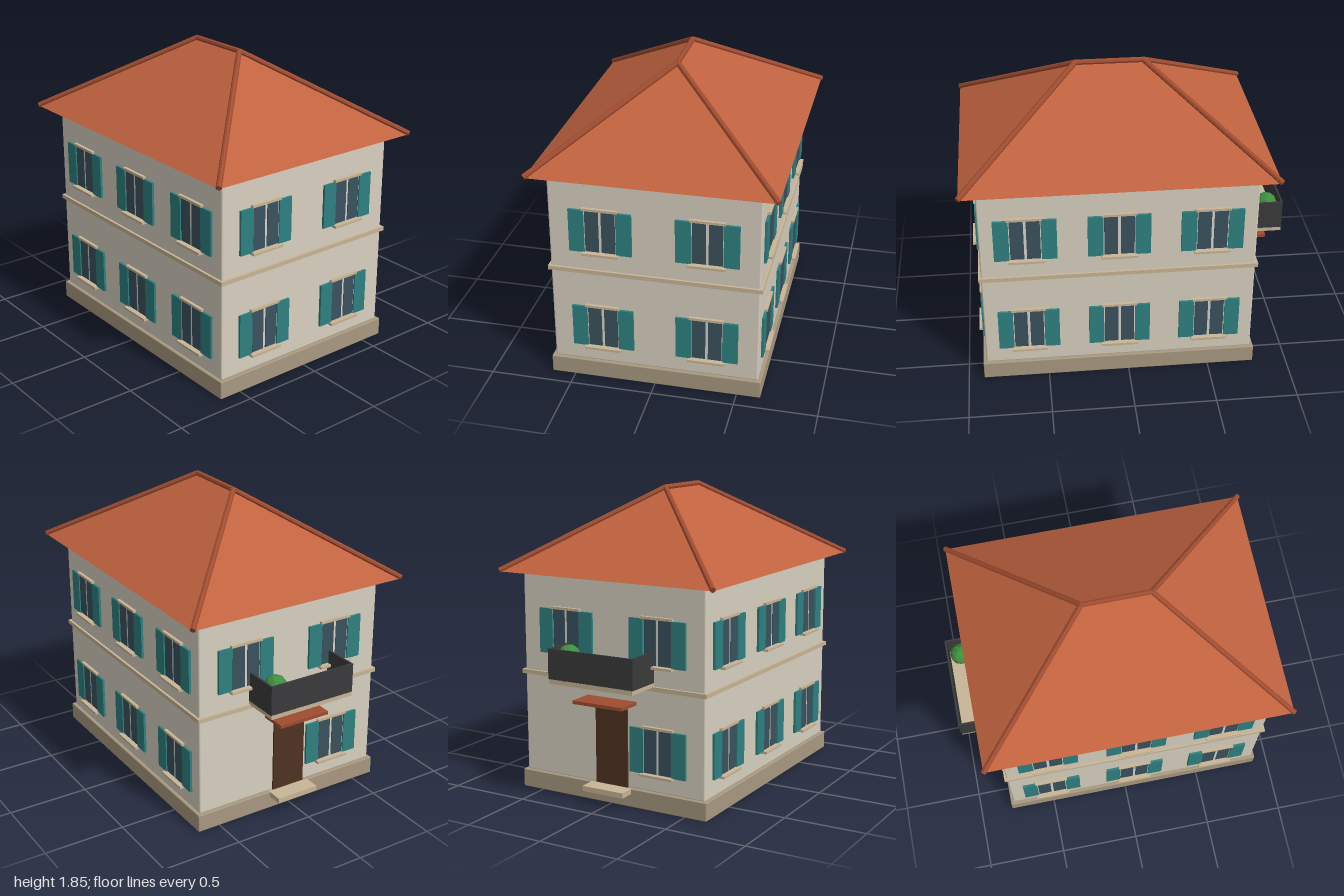
import * as THREE from 'three';
import { RoundedBoxGeometry } from 'three/addons/geometries/RoundedBoxGeometry.js';

const mat = (color) => new THREE.MeshStandardMaterial({ color });
const M = {
  wall: mat(0xd8d0c0), plinth: mat(0xa89880), trim: mat(0xc8b596), roof: mat(0xc0623f),
  cap: mat(0xa04c30), shutter: mat(0x2f8080), glass: mat(0x3a525e), frame: mat(0xd8d4cc),
  door: mat(0x4e3222), rail: mat(0x3a3a3c), plant: mat(0x3f8f3f),
};
M.roof.flatShading = M.plant.flatShading = M.cap.flatShading = true;

const CZ = 0.0575; // centre of the house body in z
const HX = 0.625, HZ = 0.8275; // half sizes of the walls

function add(parent, name, geometry, material, x = 0, y = 0, z = 0) {
  const mesh = new THREE.Mesh(geometry, material);
  mesh.name = name;
  mesh.position.set(x, y, z);
  parent.add(mesh);
  return mesh;
}

// Box given by its limits on each axis
function box(parent, name, material, [x0, x1], [y0, y1], [z0, z1], radius = 0) {
  const size = [x1 - x0, y1 - y0, z1 - z0];
  const geometry = radius ? new RoundedBoxGeometry(...size, 2, radius) : new THREE.BoxGeometry(...size);
  return add(parent, name, geometry, material, (x0 + x1) / 2, (y0 + y1) / 2, (z0 + z1) / 2);
}

// Shuttered window facing +z, origin at the wall, bottom centre
function makeWindow() {
  const g = new THREE.Group();
  g.name = 'window';
  box(g, 'windowFrame', M.frame, [-0.095, 0.095], [0, 0.275], [-0.01, 0.007]);
  for (const s of [-1, 1]) {
    const pane = [s * 0.008, s * 0.09].sort((a, b) => a - b);
    const leaf = [s * 0.095, s * 0.187].sort((a, b) => a - b);
    box(g, 'windowPane', M.glass, pane, [0.005, 0.27], [0, 0.01]);
    box(g, 'shutter', M.shutter, leaf, [0, 0.272], [0, 0.015]);
  }
  box(g, 'lintel', M.trim, [-0.105, 0.105], [0.272, 0.287], [-0.01, 0.02]);
  box(g, 'sill', M.trim, [-0.11, 0.11], [-0.013, 0.002], [-0.01, 0.038]);
  return g;
}

// Hipped roof: four slopes and a soffit
function hipRoof(corners, ridgeFront, ridgeBack) {
  const [fl, fr, br, bl] = corners; // front -x, front +x, back +x, back -x
  const tris = [
    fl, fr, ridgeFront, br, bl, ridgeBack,
    fr, br, ridgeBack, fr, ridgeBack, ridgeFront,
    bl, fl, ridgeFront, bl, ridgeFront, ridgeBack,
    fl, bl, br, fl, br, fr,
  ];
  const geometry = new THREE.BufferGeometry().setFromPoints(tris);
  geometry.computeVertexNormals();
  return geometry;
}

export function createModel() {
  const house = new THREE.Group();
  house.name = 'house';

  // Body
  box(house, 'plinth', M.plinth, [-0.645, 0.645], [0, 0.112], [CZ - 0.848, CZ + 0.848], 0.006);
  box(house, 'walls', M.wall, [-HX, HX], [0.108, 1.352], [CZ - HZ, CZ + HZ], 0.01);
  box(house, 'beltCourse', M.trim, [-0.64, 0.64], [0.72, 0.746], [CZ - 0.8425, CZ + 0.8425]);

  // Windows on all four sides; the back has one fewer downstairs
  const place = (x, y, z, turn) => {
    const w = makeWindow();
    w.position.set(x, y, z);
    w.rotation.y = turn;
    house.add(w);
  };
  for (const y of [0.218, 0.866]) {
    for (const x of [-0.315, 0.315]) {
      place(x, y, CZ + HZ, 0);
      if (y > 0.5 || x < 0) place(x, y, CZ - HZ, Math.PI);
    }
    for (const dz of [-0.555, 0, 0.555]) {
      for (const s of [-1, 1]) place(s * HX, y, CZ + dz, s * Math.PI / 2);
    }
  }

  // Roof with round caps along the ridge and hips
  const v = (x, y, z) => new THREE.Vector3(x, y, z);
  const corners = [v(-0.725, 1.35, 0.98), v(0.725, 1.35, 0.98), v(0.725, 1.35, -0.875), v(-0.725, 1.35, -0.875)];
  const ridgeFront = v(0, 1.825, 0.26), ridgeBack = v(0, 1.825, -0.15);
  add(house, 'roof', hipRoof(corners, ridgeFront, ridgeBack), M.roof);
  const cap = (name, a, b) => {
    const lift = 0.006;
    const mesh = add(house, name, new THREE.CylinderGeometry(0.017, 0.017, a.distanceTo(b), 8), M.cap);
    mesh.position.copy(a).add(b).multiplyScalar(0.5);
    mesh.position.y += lift;
    mesh.quaternion.setFromUnitVectors(v(0, 1, 0), b.clone().sub(a).normalize());
  };
  cap('ridgeCap', ridgeFront, ridgeBack);
  corners.forEach((c, i) => cap('hipCap', c, i < 2 ? ridgeFront : ridgeBack));

  // Back entrance
  const back = CZ - HZ;
  box(house, 'door', M.door, [-0.11, 0.11], [0.112, 0.585], [back - 0.01, back + 0.01]);
  box(house, 'doorStep', M.trim, [-0.14, 0.14], [0.08, 0.112], [-0.885, back]);
  box(house, 'doorCanopy', M.cap, [-0.17, 0.17], [0.62, 0.64], [-0.932, back]);

  // Balcony
  const balcony = new THREE.Group();
  balcony.name = 'balcony';
  house.add(balcony);
  box(balcony, 'balconyFloor', M.trim, [-0.285, 0.285], [0.742, 0.77], [-1, back]);
  box(balcony, 'frontRailing', M.rail, [-0.288, 0.288], [0.768, 0.95], [-1, -0.988]);
  for (const x of [-0.288, 0.276]) {
    box(balcony, 'sideRailing', M.rail, [x, x + 0.012], [0.768, 0.95], [-0.99, back]);
  }
  const plant = add(balcony, 'plant', new THREE.IcosahedronGeometry(0.068, 1), M.plant, 0.2, 0.9, -0.912);
  plant.rotation.set(0.3, 0.5, 0.2);

  return house;
}
